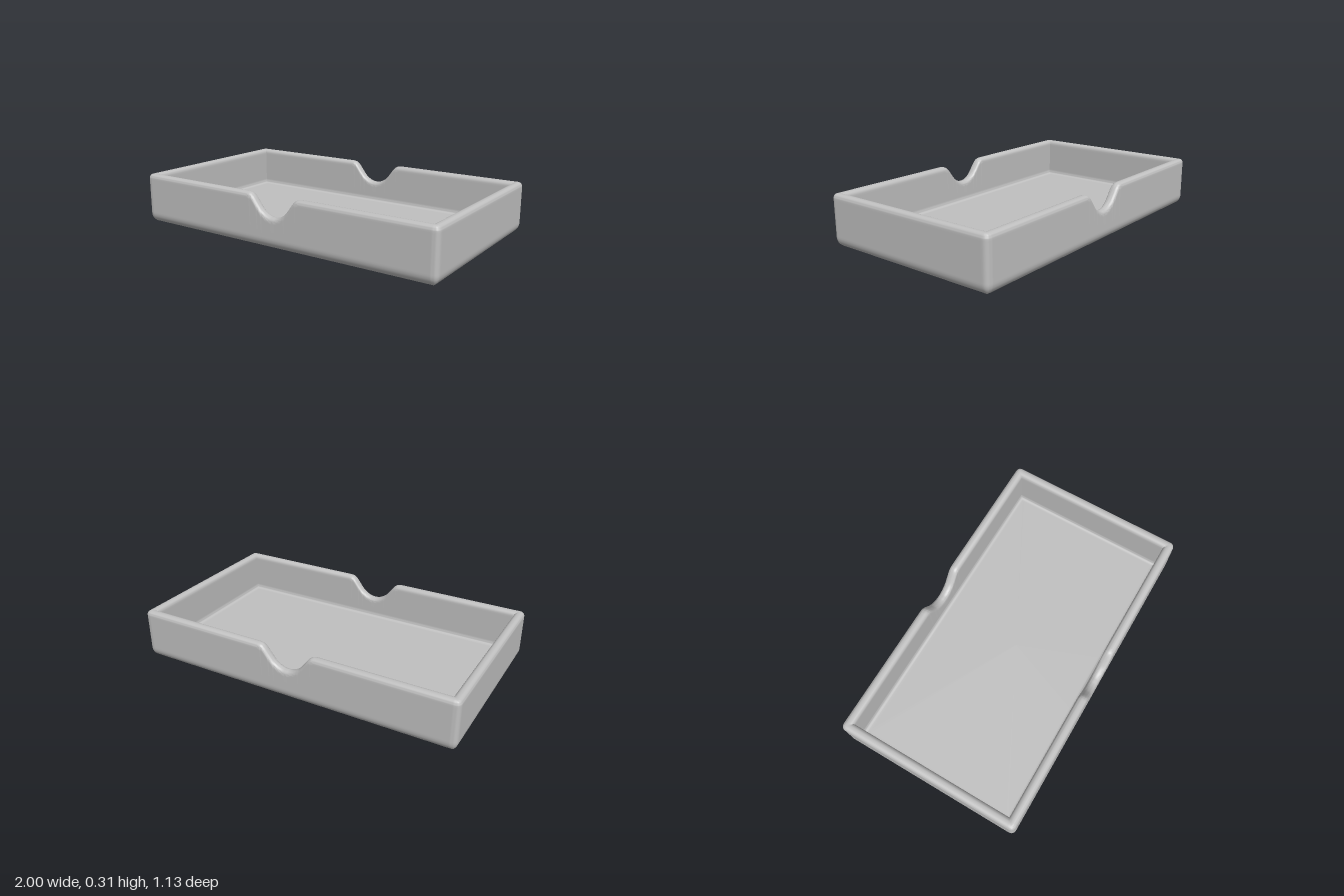
import * as THREE from 'three';
import { toCreasedNormals } from 'three/addons/utils/BufferGeometryUtils.js';

const HX = 1, HZ = 0.565, H = 0.31;          // half length, half depth, height
const CORNER = 0.03, WALL = 0.057, FLOOR = 0.06;
const BASE_R = 0.06, RIM_R = 0.025, FILLET = 0.02, TIGHT = 0.01;

// Thumb notch edge: x and height, mirrored about x = 0
const half = [[0.04, 0.192], [0.08, 0.216], [0.11, 0.25], [0.14, 0.289], [0.16, 0.305], [0.185, H]];
const notch = new THREE.SplineCurve([
  ...half.map(([x, y]) => new THREE.Vector2(-x, y)).reverse(),
  new THREE.Vector2(0, 0.185),
  ...half.map(([x, y]) => new THREE.Vector2(x, y)),
]).getPoints(48);

// Wall section from base centre, over the rim, to floor centre: [inset, y, share of notch drop]
function wallSection() {
  const p = [[null, 0, 0], [BASE_R + TIGHT, 0, 0]];
  const arc = (cd, cy, r, a0, a1, share) => {
    for (let i = 0; i <= 6; i++) {
      const a = THREE.MathUtils.lerp(a0, a1, i / 6) * Math.PI;
      p.push([cd + r * Math.cos(a), cy + r * Math.sin(a), share]);
    }
  };
  arc(BASE_R, BASE_R, BASE_R, 1.5, 1, 0);                      // bottom edge
  p.push([0, BASE_R + TIGHT, 0], [0, H - RIM_R - TIGHT, 1]);   // outer wall
  arc(RIM_R, H - RIM_R, RIM_R, 1, 0.5, 1);                     // rim
  arc(WALL - RIM_R, H - RIM_R, RIM_R, 0.5, 0, 1);
  p.push([WALL, H - RIM_R - TIGHT, 1], [WALL, FLOOR + FILLET + TIGHT, 0]); // inner wall
  arc(WALL + FILLET, FLOOR + FILLET, FILLET, 1, 1.5, 0);       // floor fillet
  p.push([WALL + FILLET + TIGHT, FLOOR, 0], [null, FLOOR, 0]);
  return p;
}

// Rounded rectangle at a given inset: [x, z, notch drop]
function outline(inset) {
  const hx = HX - inset, hz = HZ - inset, r = Math.max(CORNER - inset, 0);
  const pts = [];
  const corner = (sx, sz, start) => {
    for (let k = -1; k <= 6; k++) {
      const a = (start - THREE.MathUtils.clamp(k, 0, 5) / 10) * Math.PI;
      let x = sx * (hx - r) + r * Math.cos(a), z = sz * (hz - r) + r * Math.sin(a);
      // extra point just before and after the bend
      if (k === -1) { x -= TIGHT * Math.abs(Math.sin(a)) * sx; z -= TIGHT * Math.abs(Math.cos(a)) * sz; }
      if (k === 6) { x -= TIGHT * Math.abs(Math.sin(a)) * sx; z -= TIGHT * Math.abs(Math.cos(a)) * sz; }
      pts.push([x, z, 0]);
    }
  };
  notch.forEach((n) => pts.push([n.x, hz, n.y - H]));
  corner(1, 1, 0.5);
  corner(1, -1, 0);
  notch.forEach((n) => pts.push([-n.x, -hz, n.y - H]));
  corner(-1, -1, -0.5);
  corner(-1, 1, -1);
  return pts;
}

function trayGeometry() {
  const position = [], index = [];
  const section = wallSection();
  const count = outline(0).length;
  for (const [inset, y, share] of section) {
    for (const [x, z, drop] of outline(inset ?? 0)) {
      if (inset === null) position.push(0, y, 0);
      else position.push(x, y + share * drop, z);
    }
  }
  for (let i = 0; i < section.length - 1; i++) {
    for (let j = 0; j < count; j++) {
      const k = (j + 1) % count;
      const a = i * count + j, b = i * count + k, c = b + count, d = a + count;
      if (i > 0) index.push(a, b, d);
      if (i === 0) index.push(a, c, d);
      else if (i < section.length - 2) index.push(b, c, d);
    }
  }
  const geometry = new THREE.BufferGeometry();
  geometry.setAttribute('position', new THREE.Float32BufferAttribute(position, 3));
  geometry.setIndex(index);
  return toCreasedNormals(geometry, 0.65);
}

export function createModel() {
  const group = new THREE.Group();
  group.name = 'tray';
  const grey = new THREE.MeshStandardMaterial({ color: 0xc0c0c0 });
  grey.name = 'light grey';
  const tray = new THREE.Mesh(trayGeometry(), grey);
  tray.name = 'notchedTray';
  group.add(tray);
  return group;
}
